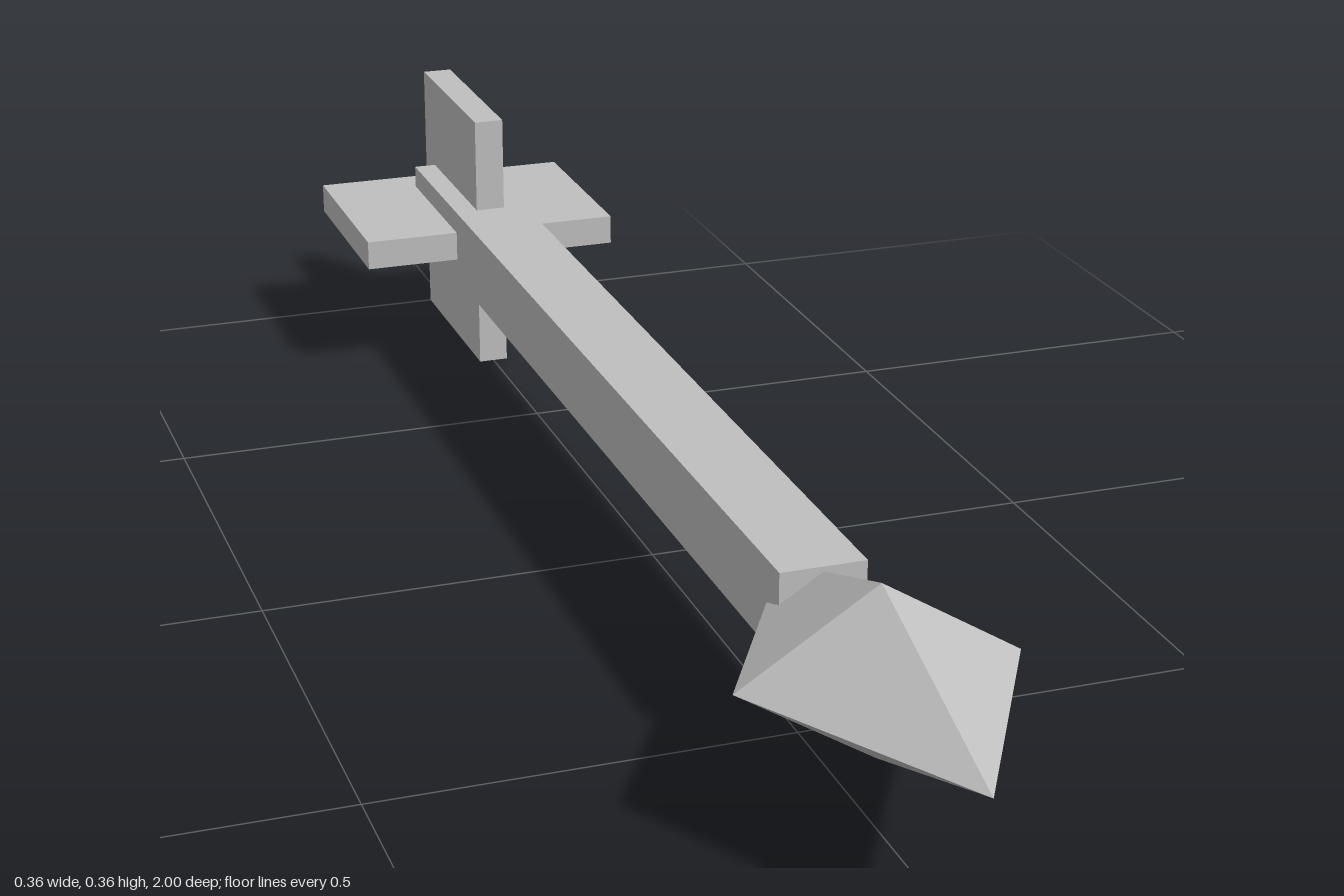
import * as THREE from 'three';

const AXIS_Y = 0.182; // height of the bolt's centre line

export function createModel() {
  const group = new THREE.Group();
  const grey = new THREE.MeshStandardMaterial({ color: 0xbfbfbf });
  grey.name = 'plain grey';

  const add = (name, geometry, z) => {
    const mesh = new THREE.Mesh(geometry, grey);
    mesh.name = name;
    mesh.position.set(0, AXIS_Y, z);
    group.add(mesh);
  };

  // Square shaft, stopping just short of the rear of the fins
  add('shaft', new THREE.BoxGeometry(0.102, 0.102, 1.515), -0.1925);

  // Flattened octahedral head, its rear point buried in the shaft
  add('head', new THREE.OctahedronGeometry(1).scale(0.161, 0.101, 0.28), 0.72);

  // Four fins as one extruded cross: one arm outline turned by quarter turns
  const r = 0.182, t = 0.0203;
  const points = [];
  for (let i = 0; i < 4; i++) {
    for (const [x, y] of [[r, -t], [r, t], [t, t]]) {
      points.push(new THREE.Vector2(x, y).rotateAround(new THREE.Vector2(), i * Math.PI / 2));
    }
  }
  const fins = new THREE.ExtrudeGeometry(new THREE.Shape(points), { depth: 0.28, bevelEnabled: false });
  add('fins', fins, -1);

  return group;
}
